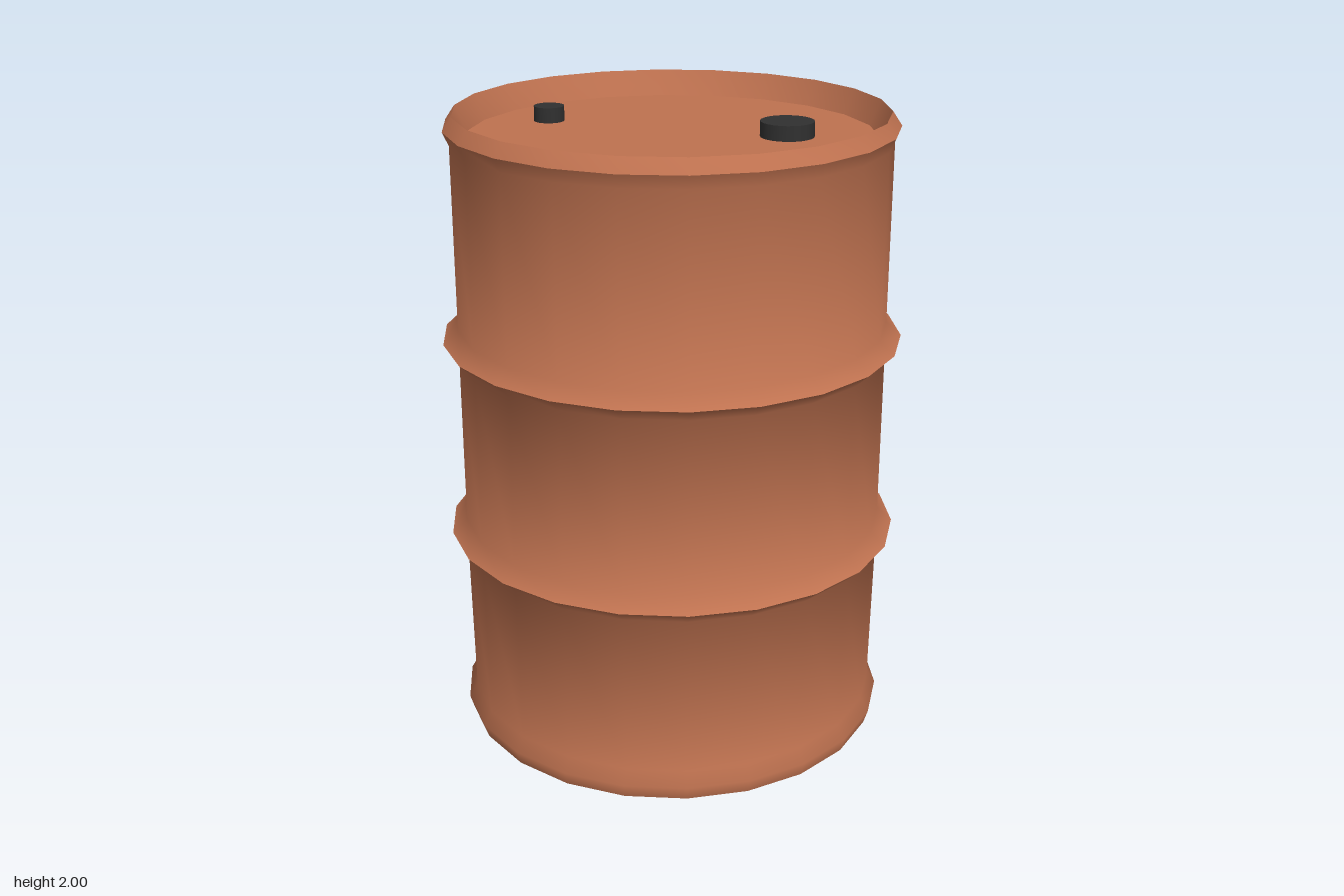
import * as THREE from 'three';
import { toCreasedNormals } from 'three/addons/utils/BufferGeometryUtils.js';

const SIDES = 22;

export function createModel() {
  const group = new THREE.Group();
  group.name = 'drum';

  const rust = new THREE.MeshStandardMaterial({ color: 0xbf7250 });
  rust.name = 'rust paint';
  const black = new THREE.MeshStandardMaterial({ color: 0x303030 });
  black.name = 'black plastic';

  // Shell profile from the bottom centre, up the wall, over the rim to the lid centre
  const BODY = 0.675;
  const hoop = (y) => [[BODY, y - 0.043], [0.722, y], [BODY, y + 0.043]];
  const profile = [
    [0, 0], [0.68, 0], [0.694, 0.045], [0.667, 0.09],
    ...hoop(0.655),
    ...hoop(1.295),
    [BODY, 1.915], [0.694, 1.957], [0.665, 2], [0.63, 1.92], [0, 1.92],
  ].map(([r, y]) => new THREE.Vector2(r, y));
  const lathe = new THREE.LatheGeometry(profile, SIDES, Math.PI / 2);
  const shell = new THREE.Mesh(toCreasedNormals(lathe, THREE.MathUtils.degToRad(56)), rust);
  shell.name = 'shell';
  group.add(shell);

  // Screw caps on the lid
  const addCap = (name, radius, x, z) => {
    const cap = new THREE.Mesh(new THREE.CylinderGeometry(radius, radius, 0.06, 24), black);
    cap.name = name;
    cap.position.set(x, 1.937, z);
    group.add(cap);
  };
  addCap('largeCap', 0.083, 0.35, 0);
  addCap('smallCap', 0.048, -0.4, -0.18);

  return group;
}
